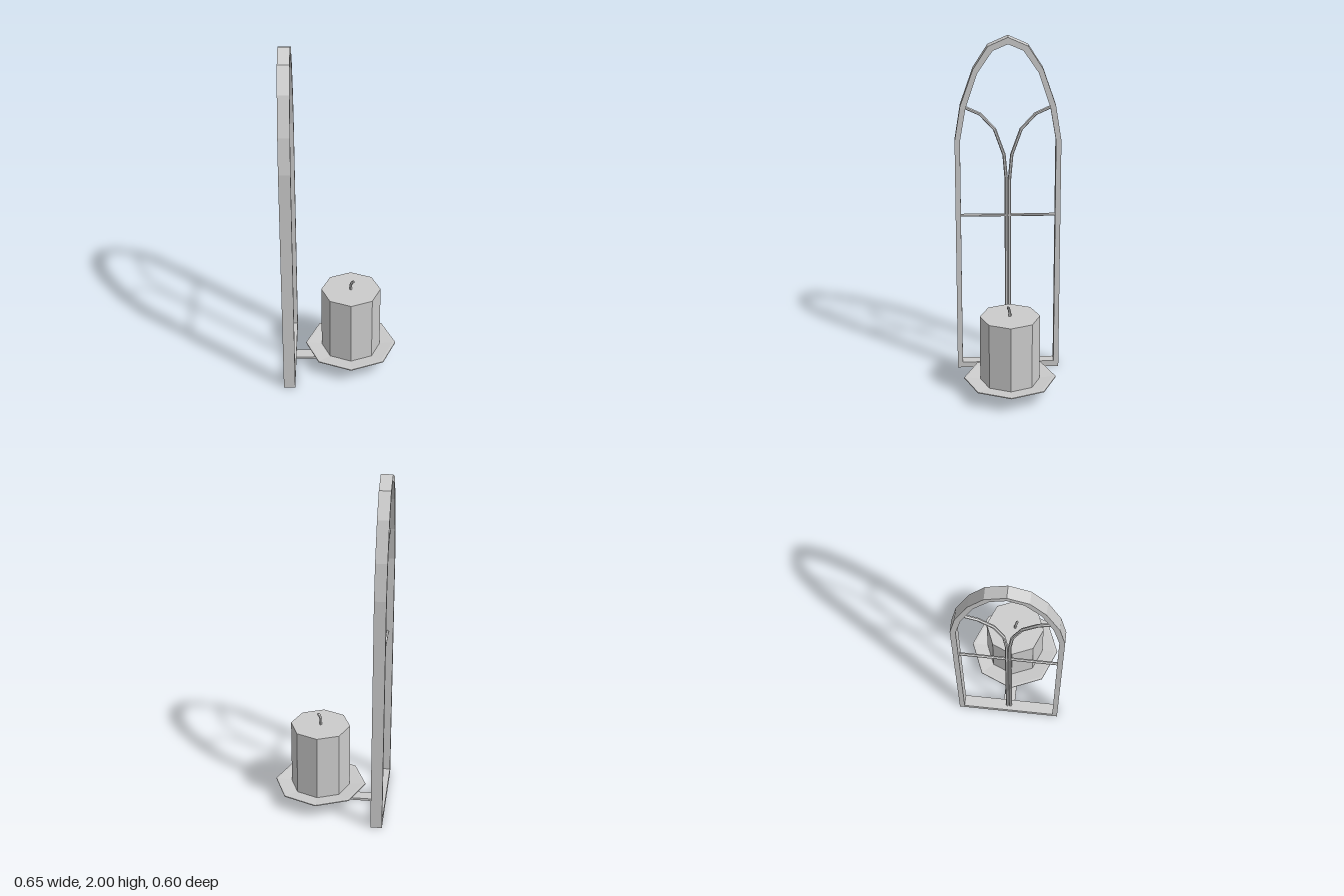
import * as THREE from 'three';

const mat = new THREE.MeshStandardMaterial({ color: 0xcccccc, flatShading: true, side: THREE.DoubleSide });
const CX = 0.06; // candle axis
const FX = -0.292; // frame mid-plane

// Straight-segment path whose tube rings fall exactly on its corners
class Polyline extends THREE.Curve {
  constructor(points) { super(); this.points = points; }
  getPoint(t, target = new THREE.Vector3()) {
    const s = t * (this.points.length - 1);
    const i = Math.min(Math.floor(s), this.points.length - 2);
    return target.lerpVectors(this.points[i], this.points[i + 1], s - i);
  }
  getPointAt(u, target) { return this.getPoint(u, target); }
  getTangentAt(u, target) { return this.getTangent(u, target); }
}

const tube = (pts, radius, sides) => new THREE.TubeGeometry(
  new Polyline(pts.map(p => new THREE.Vector3(...p))), pts.length - 1, radius, sides);

// Closed arch outline from one half profile, mirrored
function archPoints(half) {
  const mirrored = half.slice(0, -1).reverse().map(([z, y]) => [-z, y]);
  return [...half, ...mirrored].map(p => new THREE.Vector2(...p));
}

export function createModel() {
  const group = new THREE.Group();
  const add = (name, geometry, x = 0, y = 0, z = 0) => {
    const mesh = new THREE.Mesh(geometry, mat);
    mesh.name = name;
    mesh.position.set(x, y, z);
    group.add(mesh);
    return mesh;
  };

  // Pointed arch frame
  const outline = new THREE.Shape(archPoints(
    [[0.3, 0], [0.3, 1.41], [0.268, 1.61], [0.195, 1.82], [0.112, 1.95], [0, 2]]));
  outline.holes.push(new THREE.Path(archPoints(
    [[0.27, 0.035], [0.27, 1.41], [0.237, 1.6], [0.17, 1.8], [0.085, 1.925], [0, 1.962]])));
  const frame = new THREE.ExtrudeGeometry(outline, { depth: 0.065, bevelEnabled: false });
  frame.rotateY(-Math.PI / 2);
  add('archFrame', frame, -0.26);

  // Twin rods forming the mullion, branching out to the arch
  for (const s of [1, -1]) {
    add(s > 0 ? 'frontTraceryRod' : 'backTraceryRod', tube(
      [[0.009, 0.02], [0.009, 1.17], [0.022, 1.32], [0.075, 1.47], [0.155, 1.558], [0.245, 1.6]]
        .map(([z, y]) => [FX, y, s * z]), 0.0095, 6));
  }

  // Cross bar
  const bar = new THREE.CylinderGeometry(0.009, 0.009, 0.55, 6);
  bar.rotateX(Math.PI / 2);
  add('crossBar', bar, FX, 0.957);

  // Support arm and ball
  add('supportArm', new THREE.BoxGeometry(0.355, 0.014, 0.068), -0.0875, 0.007);
  add('supportBall', new THREE.SphereGeometry(0.04, 8, 6), CX, 0.04);

  // Shallow octagonal drip plate
  add('dripPlate', new THREE.LatheGeometry(
    [[0, 0.068], [0.05, 0.07], [0.263, 0.092], [0.262, 0.097], [0.248, 0.097], [0.12, 0.083], [0, 0.083]]
      .map(p => new THREE.Vector2(...p)), 8), CX);

  // Candle and wick
  add('candle', new THREE.CylinderGeometry(0.17, 0.17, 0.396, 8), CX, 0.28);
  add('wick', tube([[0, 0.47, 0], [-0.002, 0.495, 0.001], [0, 0.515, 0.004],
    [0.006, 0.53, 0.009], [0.014, 0.538, 0.011]], 0.008, 6), CX);
  add('wickTip', new THREE.SphereGeometry(0.007, 6, 4), CX + 0.014, 0.537, 0.011);

  return group;
}
